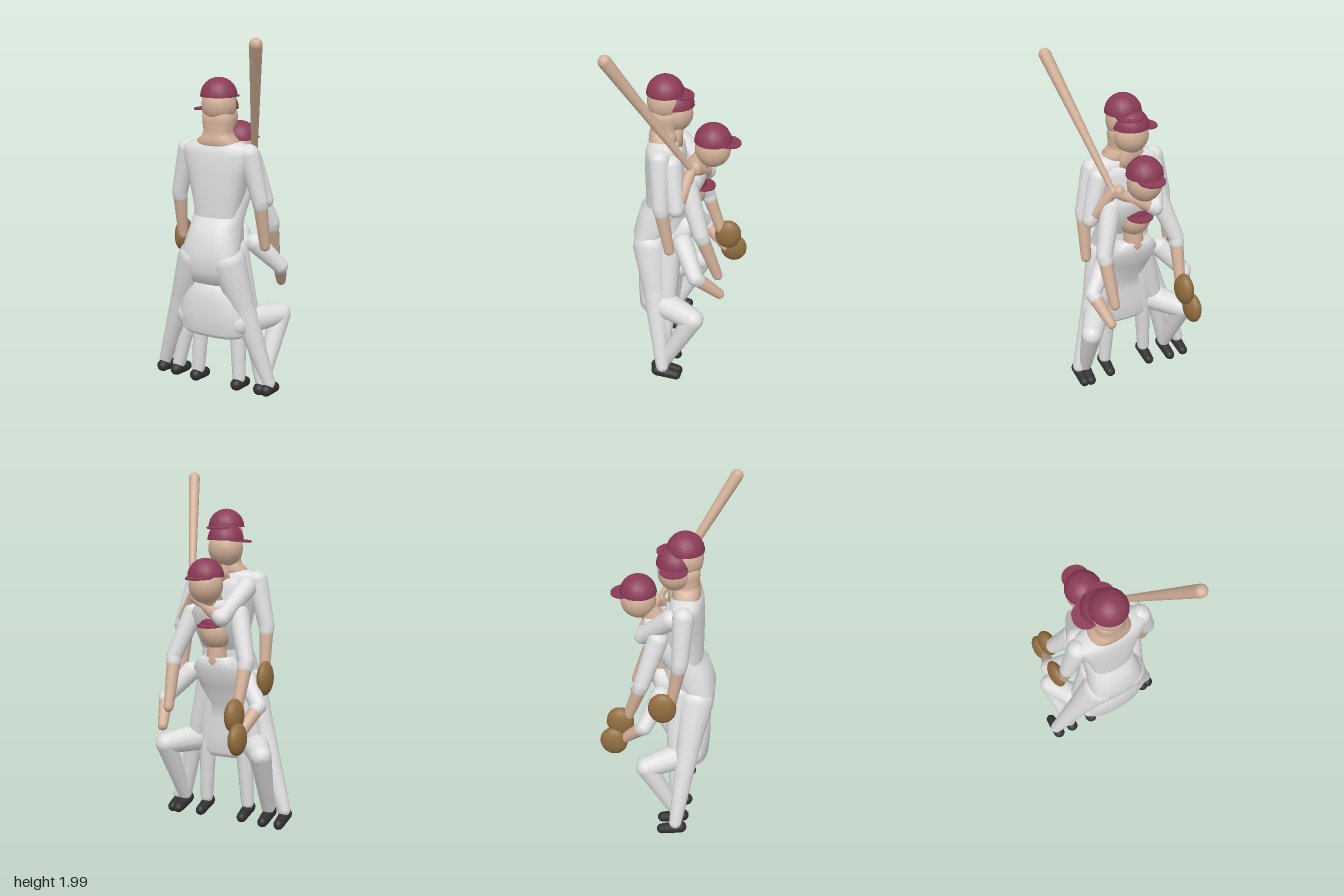
import * as THREE from 'three';

const mat = (name, color) => {
  const m = new THREE.MeshStandardMaterial({ color });
  m.name = name;
  return m;
};
const V = (p) => new THREE.Vector3(...p);
const CX = 0.02; // shared centre line of the players

export function createModel() {
  const white = mat('uniform white', 0xdfdfdf);
  const skin = mat('skin and bare wood', 0xd3b199);
  const maroon = mat('cap maroon', 0x8b3b57);
  const leather = mat('glove leather', 0x926e40);
  const black = mat('shoe black', 0x303030);

  const add = (parent, name, geo, material) => {
    const m = new THREE.Mesh(geo, material);
    m.name = name;
    parent.add(m);
    return m;
  };

  // Tapered limb with rounded ends between two points
  function limb(parent, name, a, b, ra, rb, material) {
    const A = V(a), d = V(b).sub(A), len = d.length(), pts = [];
    for (let i = 0; i <= 4; i++) {
      const t = -Math.PI / 2 + (i / 4) * Math.PI / 2;
      pts.push(new THREE.Vector2(Math.max(0, ra * Math.cos(t)), ra * Math.sin(t)));
    }
    for (let i = 0; i <= 4; i++) {
      const t = (i / 4) * Math.PI / 2;
      pts.push(new THREE.Vector2(Math.max(0, rb * Math.cos(t)), len + rb * Math.sin(t)));
    }
    const m = add(parent, name, new THREE.LatheGeometry(pts, 14), material);
    m.position.copy(A);
    m.quaternion.setFromUnitVectors(new THREE.Vector3(0, 1, 0), d.normalize());
    return m;
  }

  function ellipsoid(parent, name, p, r, material) {
    const m = add(parent, name, new THREE.SphereGeometry(1, 18, 12), material);
    m.position.set(...p);
    m.scale.set(...r);
    return m;
  }

  // Body from horizontal cross-sections: [y, z, half width, half depth]
  function loft(parent, name, rings, material) {
    const n = 24, pos = [], idx = [];
    const all = [[rings[0][0], rings[0][1], 0, 0], ...rings, [rings.at(-1)[0], rings.at(-1)[1], 0, 0]];
    for (const [y, z, w, d] of all) {
      for (let j = 0; j < n; j++) {
        const t = (j / n) * Math.PI * 2, c = Math.cos(t), s = Math.sin(t);
        pos.push(CX + w * Math.sign(c) * Math.abs(c) ** 0.8, y, z + d * Math.sign(s) * Math.abs(s) ** 0.8);
      }
    }
    for (let i = 0; i < all.length - 1; i++) {
      for (let j = 0; j < n; j++) {
        const a = i * n + j, b = i * n + (j + 1) % n;
        idx.push(a, a + n, b, b, a + n, b + n);
      }
    }
    const g = new THREE.BufferGeometry();
    g.setAttribute('position', new THREE.Float32BufferAttribute(pos, 3));
    g.setIndex(idx);
    g.computeVertexNormals();
    return add(parent, name, g, material);
  }

  // Head with domed cap and brim pointing to local -z; p is the cap centre
  function head(parent, p, turn = 0) {
    const g = new THREE.Group();
    g.name = 'cappedHead';
    g.position.set(...p);
    g.rotation.y = turn;
    parent.add(g);
    ellipsoid(g, 'head', [0, -0.045, 0], [0.093, 0.1, 0.097], skin);
    add(g, 'capDome', new THREE.SphereGeometry(0.1, 18, 8, 0, Math.PI * 2, 0, Math.PI / 2), maroon);
    const under = add(g, 'capUnderside', new THREE.CircleGeometry(0.1, 18), maroon);
    under.rotation.x = Math.PI / 2;
    const brim = add(g, 'capBrim', new THREE.CylinderGeometry(1, 1, 1, 18), maroon);
    brim.position.set(0, -0.002, -0.08);
    brim.scale.set(0.073, 0.009, 0.07);
    brim.rotation.x = -0.09;
  }

  // Sleeve, bare forearm and hand along shoulder, elbow, hand
  function arm(parent, s, e, h) {
    limb(parent, 'upperSleeve', s, e, 0.057, 0.044, white);
    const cuff = V(e).lerp(V(h), 0.12).toArray();
    limb(parent, 'sleeveCuff', e, cuff, 0.044, 0.041, white);
    limb(parent, 'forearm', e, h, 0.04, 0.028, skin);
  }

  // Leg through hip, knee and ankle, with a shoe
  function leg(parent, points, radii) {
    for (let i = 0; i < points.length - 1; i++)
      limb(parent, i ? 'shin' : 'thigh', points[i], points[i + 1], radii[i], radii[i + 1], white);
    const [x, , z] = points.at(-1);
    limb(parent, 'shoe', [x, 0.068, z + 0.03], [x, 0.04, z - 0.08], 0.035, 0.029, black);
  }

  const mirror = (side, pts, centre = CX) => pts.map(([x, y, z]) => [centre + side * x, y, z]);
  const sides = [-1, 1];
  const model = new THREE.Group();
  const player = (name) => {
    const g = new THREE.Group();
    g.name = name;
    model.add(g);
    return g;
  };

  // Standing player with a glove held low
  const standing = player('standingPlayer');
  loft(standing, 'torso', [[0.76, 0.09, 0.1, 0.07], [0.86, 0.1, 0.14, 0.09], [1.08, 0.11, 0.125, 0.09],
    [1.28, 0.1, 0.175, 0.1], [1.38, 0.1, 0.21, 0.092], [1.425, 0.1, 0.2, 0.08], [1.445, 0.1, 0.12, 0.055]], white);
  loft(standing, 'neck', [[1.4, 0.1, 0.125, 0.075], [1.45, 0.1, 0.115, 0.078], [1.475, 0.098, 0.085, 0.075],
    [1.5, 0.095, 0.076, 0.072], [1.55, 0.09, 0.084, 0.08], [1.6, 0.09, 0.08, 0.08]], skin);
  head(standing, [CX, 1.68, 0.09]);
  for (const s of sides) {
    arm(standing, ...mirror(s, [[0.185, 1.385, 0.1], [0.247, 1.14, 0.09], [0.257, 0.88, 0.045]]));
    leg(standing, mirror(s, [[0.085, 0.84, 0.08], [0.115, 0.45, 0.085], [0.132, 0.1, 0.1]]), [0.075, 0.05, 0.037]);
  }
  ellipsoid(standing, 'glove', [-0.26, 0.865, 0], [0.04, 0.095, 0.078], leather);

  // Batter, head turned to the side
  const batter = player('batter');
  loft(batter, 'torso', [[0.76, 0.06, 0.1, 0.07], [0.88, 0.06, 0.13, 0.08], [1.08, 0.06, 0.12, 0.08],
    [1.26, 0.06, 0.16, 0.085], [1.36, 0.06, 0.17, 0.07], [1.4, 0.06, 0.12, 0.055]], white);
  loft(batter, 'neck', [[1.38, 0.06, 0.09, 0.06], [1.44, 0.05, 0.05, 0.05], [1.52, 0.04, 0.05, 0.05]], skin);
  head(batter, [0, 1.61, 0.04], Math.PI / 2);
  arm(batter, [-0.13, 1.35, 0.03], [-0.06, 1.195, -0.13], [0.13, 1.3, -0.085]);
  arm(batter, [0.19, 1.35, 0.04], [0.26, 1.13, 0.01], [0.15, 1.31, -0.06]);
  ellipsoid(batter, 'hands', [0.13, 1.31, -0.08], [0.03, 0.038, 0.033], skin);
  limb(batter, 'bat', [0.15, 1.29, -0.075], [0.347, 1.965, 0.327], 0.015, 0.033, skin);
  for (const s of sides)
    leg(batter, mirror(s, [[0.09, 0.84, 0.07], [0.19, 0.45, 0.07], [0.27, 0.1, 0.09]]), [0.075, 0.05, 0.037]);

  // Fielder leaning forward over a wide stance
  const fielder = player('leaningFielder');
  loft(fielder, 'torso', [[0.68, 0.16, 0.14, 0.08], [0.76, 0.18, 0.16, 0.088], [0.86, 0.185, 0.165, 0.088],
    [1, 0.11, 0.138, 0.125], [1.12, 0.02, 0.14, 0.115], [1.22, -0.04, 0.14, 0.095], [1.29, -0.07, 0.08, 0.06]], white);
  limb(fielder, 'neck', [CX, 1.25, -0.06], [CX, 1.36, -0.14], 0.06, 0.05, skin);
  head(fielder, [CX, 1.42, -0.16]);
  for (const s of sides) {
    arm(fielder, ...mirror(s, [[0.14, 1.21, -0.04], [0.22, 0.97, -0.12], [0.205, 0.7, -0.215]]));
    const stance = mirror(s, [[0.1, 0.8, 0.17], [0.188, 0.55, 0.14], [0.338, 0.1, 0.085]], -0.008);
    stance[0][0] += 0.025;
    stance[1][0] += 0.012;
    leg(fielder, stance, [0.1, 0.068, 0.037]);
  }
  ellipsoid(fielder, 'glove', [-0.19, 0.7, -0.245], [0.048, 0.092, 0.078], leather);

  // Crouching catcher with knees forward
  const catcher = player('crouchingCatcher');
  loft(catcher, 'torso', [[0.37, 0.14, 0.175, 0.085], [0.4, 0.14, 0.205, 0.108], [0.5, 0.14, 0.21, 0.112],
    [0.6, 0.14, 0.17, 0.112], [0.68, 0.125, 0.12, 0.105], [0.8, 0.04, 0.13, 0.085], [0.9, -0.01, 0.15, 0.075],
    [0.97, -0.03, 0.1, 0.055]], white);
  limb(catcher, 'neck', [CX, 0.95, -0.03], [CX, 1.05, -0.03], 0.06, 0.05, skin);
  head(catcher, [CX, 1.155, -0.03]);
  for (const s of sides) {
    arm(catcher, ...mirror(s, [[0.17, 0.87, -0.02], [0.285, 0.73, -0.1], [0.235, 0.595, -0.23]]));
    leg(catcher, mirror(s, [[0.15, 0.46, 0.14], [0.295, 0.45, -0.09], [0.27, 0.1, 0.08]]), [0.085, 0.06, 0.037]);
  }
  ellipsoid(catcher, 'glove', [-0.225, 0.585, -0.28], [0.044, 0.088, 0.078], leather);

  return model;
}
